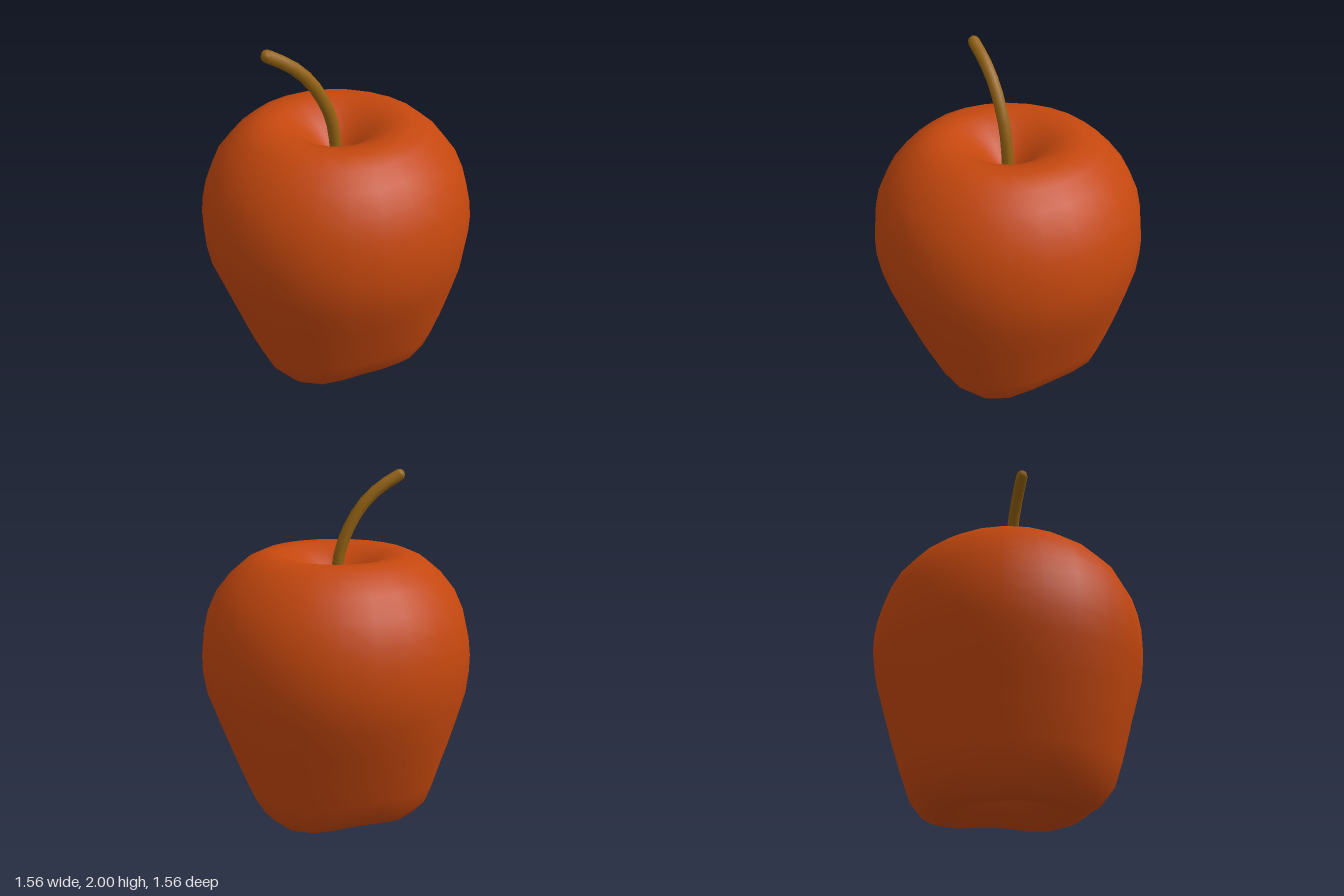
import * as THREE from 'three';
import { mergeVertices } from 'three/addons/utils/BufferGeometryUtils.js';

// Half profile of the fruit, from the hollow underneath to the hollow on top
const PROFILE = [
  [0, 0.21], [0.06, 0.18], [0.14, 0.1], [0.24, 0.04], [0.33, 0.016], [0.41, 0.016],
  [0.49, 0.04], [0.565, 0.13], [0.61, 0.25], [0.665, 0.42], [0.715, 0.59], [0.765, 0.77],
  [0.78, 0.9], [0.78, 1.0], [0.767, 1.1], [0.74, 1.21], [0.685, 1.33], [0.6, 1.435],
  [0.51, 1.51], [0.42, 1.55], [0.33, 1.545], [0.24, 1.51], [0.15, 1.44], [0.07, 1.36], [0, 1.31],
];

function createFruit() {
  const lathe = new THREE.LatheGeometry(PROFILE.map(([r, y]) => new THREE.Vector2(r, y)), 24);
  lathe.deleteAttribute('uv');
  lathe.deleteAttribute('normal');
  const geometry = mergeVertices(lathe, 1e-4);

  // Four soft lobes on the diagonals that fade out towards the widest ring
  const p = geometry.attributes.position;
  for (let i = 0; i < p.count; i++) {
    const x = p.getX(i), y = p.getY(i), z = p.getZ(i);
    const r = Math.hypot(x, z);
    const fade = Math.max(0, 1 - y / 0.85);
    const wave = Math.cos(4 * Math.atan2(x, z)) * fade;
    const scale = 1 - 0.06 * wave;
    p.setXYZ(i, x * scale, y + 0.013 * wave * Math.min(1, r / 0.4), z * scale);
  }
  geometry.computeVertexNormals();

  const fruit = new THREE.Mesh(geometry, new THREE.MeshStandardMaterial({ color: 0xc4470e }));
  fruit.name = 'fruit';
  return fruit;
}

function createStem() {
  const stem = new THREE.Group();
  stem.name = 'stem';
  const material = new THREE.MeshStandardMaterial({ color: 0x946212 });

  // Curved stalk rising out of the hollow and leaning to the right
  const path = new THREE.CatmullRomCurve3([
    [0.005, 1.28], [-0.005, 1.42], [-0.025, 1.55], [-0.07, 1.67],
    [-0.15, 1.8], [-0.25, 1.895], [-0.372, 1.966],
  ].map(([x, y]) => new THREE.Vector3(x, y, 0)));
  const stalk = new THREE.Mesh(new THREE.TubeGeometry(path, 10, 0.035, 8), material);
  stalk.name = 'stalk';

  // Rounded tip
  const tip = new THREE.Mesh(new THREE.SphereGeometry(0.034, 8, 6), material);
  tip.name = 'stalkTip';
  tip.position.copy(path.getPoint(1));
  stem.add(stalk, tip);
  return stem;
}

export function createModel() {
  const model = new THREE.Group();
  model.name = 'apple';
  model.add(createFruit(), createStem());
  return model;
}
